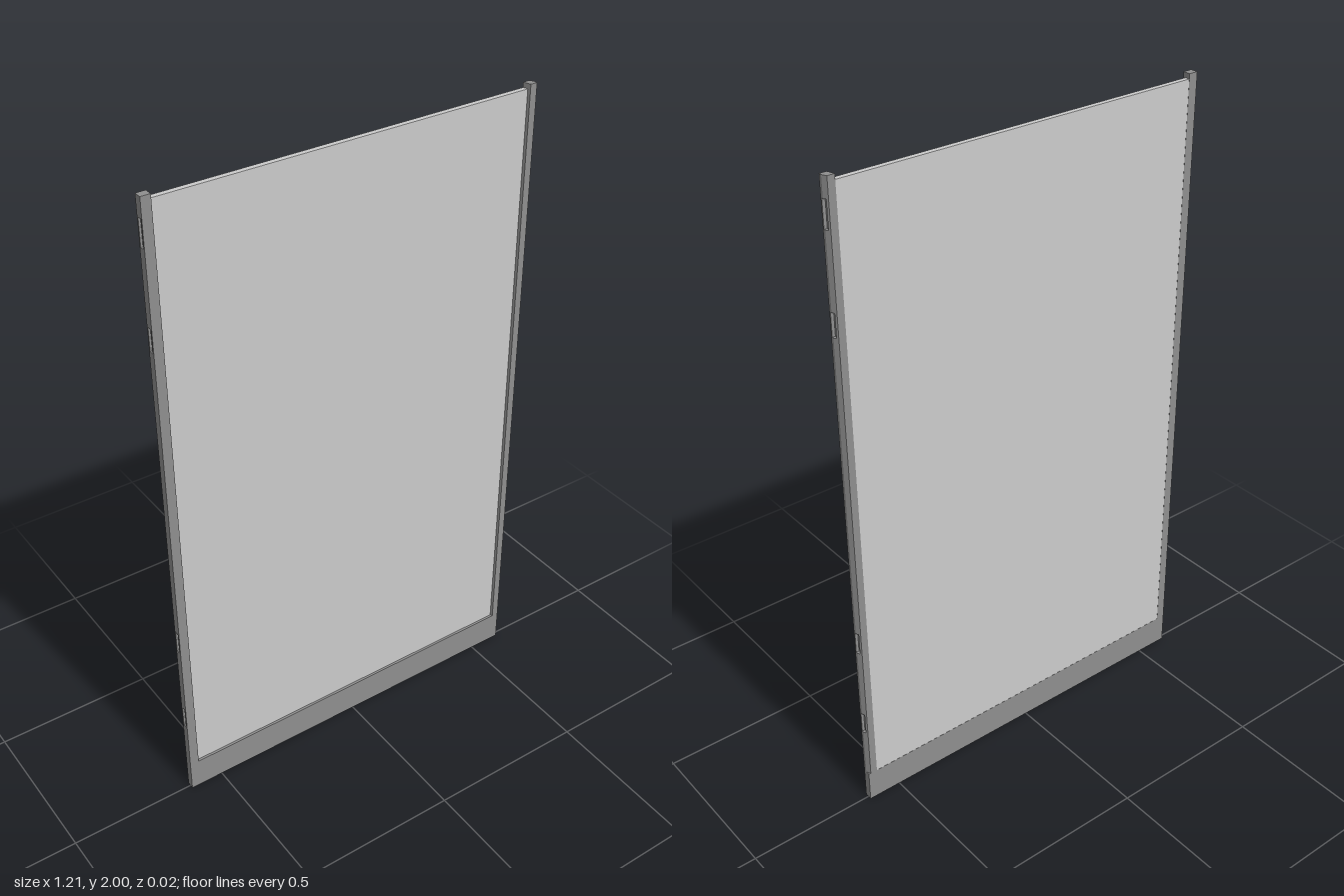
import * as THREE from 'three';

const panelMat = new THREE.MeshStandardMaterial({ color: 0xcccccc });
const frameMat = new THREE.MeshStandardMaterial({ color: 0x8f8f8f });

const RAIL = 0.1, TOP = 2, BACK = -0.012, FRONT = 0.012;
// y ranges of the shallow pockets in the outer edges
const POCKETS = [[0.26, 0.33], [0.56, 0.63], [1.57, 1.64], [1.86, 1.94]];

function box(name, mat, x0, x1, y0, y1, z0, z1) {
  const mesh = new THREE.Mesh(new THREE.BoxGeometry(x1 - x0, y1 - y0, z1 - z0), mat);
  mesh.name = name;
  mesh.position.set((x0 + x1) / 2, (y0 + y1) / 2, (z0 + z1) / 2);
  return mesh;
}

// Upright bar from an (x, z) outline
function bar(name, outline, y0, y1) {
  const shape = new THREE.Shape(outline.map(([x, z]) => new THREE.Vector2(x, -z)));
  const geo = new THREE.ExtrudeGeometry(shape, { depth: y1 - y0, bevelEnabled: false });
  geo.rotateX(-Math.PI / 2);
  const mesh = new THREE.Mesh(geo, frameMat);
  mesh.name = name;
  mesh.position.y = y0;
  return mesh;
}

// Stile stacked from plain lengths and lengths grooved on the outer edge
function stile(name, plain, grooved) {
  const group = new THREE.Group();
  group.name = name;
  let y = RAIL;
  for (const [a, b] of POCKETS) {
    group.add(bar('stileLength', plain, y, a), bar('edgePocket', grooved, a, b));
    y = b;
  }
  group.add(bar('stileLength', plain, y, TOP));
  return group;
}

export function createModel() {
  const model = new THREE.Group();
  model.name = 'framedPanel';

  // Sheet, recessed at the front and flush at the back
  model.add(box('panel', panelMat, -0.578, 0.581, RAIL, 1.985, BACK + 0.0005, 0.004));

  // Bottom rail across the full width
  model.add(box('bottomRail', frameMat, -0.606, 0.606, 0, RAIL, BACK, FRONT));

  // Square stile on the right
  const r0 = [[-0.577, BACK], [-0.577, FRONT], [-0.606, FRONT]];
  model.add(stile('rightStile',
    [...r0, [-0.606, BACK]],
    [...r0, [-0.606, 0.007], [-0.6, 0.007], [-0.6, -0.007], [-0.606, -0.007], [-0.606, BACK]]));

  // Slanted stile on the left
  const l0 = [[0.584, FRONT], [0.577, BACK], [0.599, BACK]];
  model.add(stile('leftStile',
    [...l0, [0.606, 0.002], [0.606, FRONT]],
    [...l0, [0.602, -0.006], [0.597, -0.006], [0.597, 0.007], [0.606, 0.007], [0.606, FRONT]]));

  return model;
}
